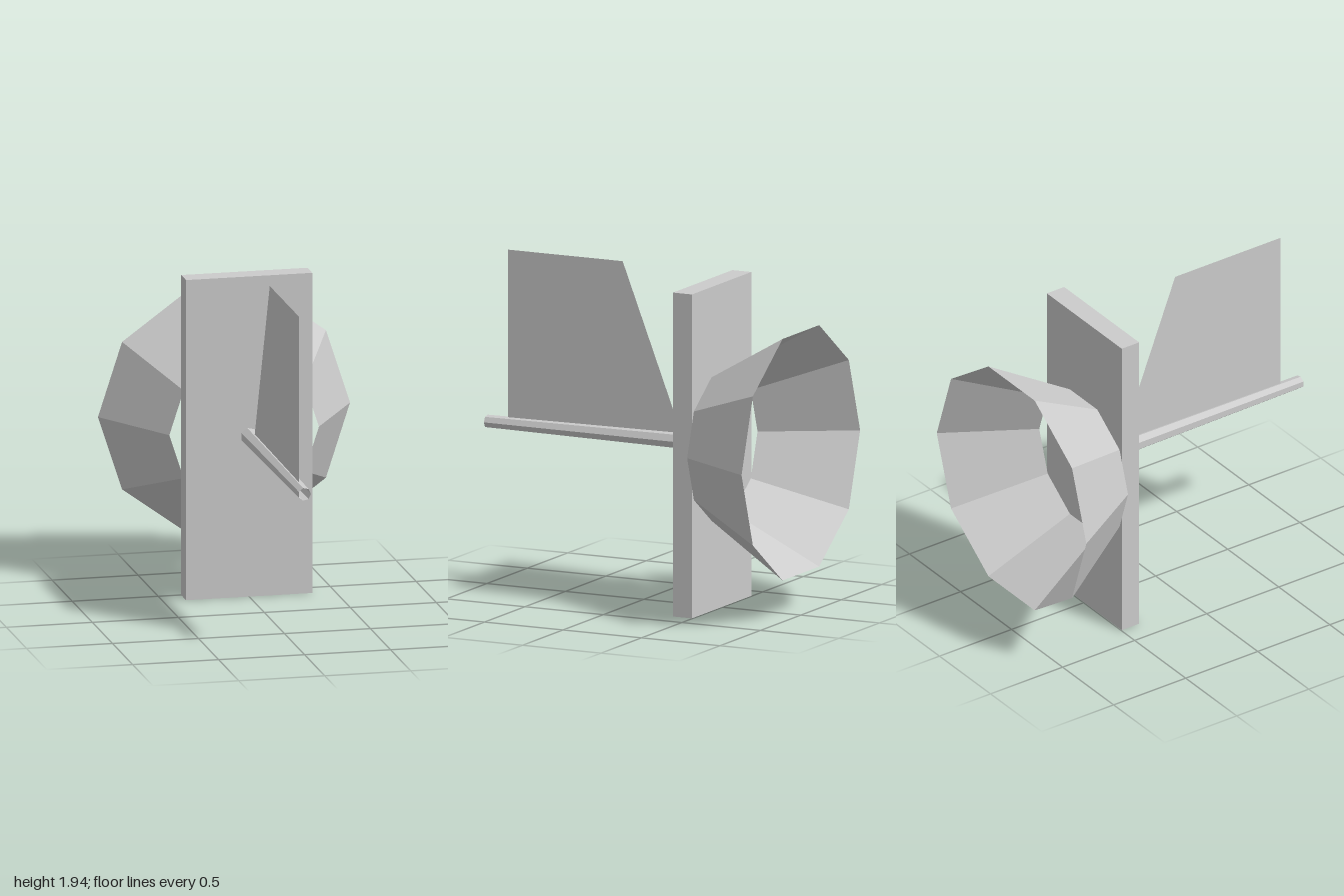
import * as THREE from 'three';

const AXIS_Y = 0.937;

export function createModel() {
  const group = new THREE.Group();
  const solid = new THREE.MeshStandardMaterial({ color: 0xcccccc, flatShading: true });
  const thin = new THREE.MeshStandardMaterial({ color: 0xcccccc, flatShading: true, side: THREE.DoubleSide });

  const add = (name, geometry, material) => {
    const mesh = new THREE.Mesh(geometry, material);
    mesh.name = name;
    group.add(mesh);
    return mesh;
  };

  // Open tapered tube along z, with one edge pointing to +x
  const taperedTube = (name, rFront, rBack, zFront, zBack, sides) => {
    const geo = new THREE.CylinderGeometry(rFront, rBack, zFront - zBack, sides, 1, true, Math.PI / 2);
    geo.rotateX(Math.PI / 2);
    add(name, geo, thin).position.set(0, AXIS_Y, (zFront + zBack) / 2);
  };

  // Upright slab
  add('panel', new THREE.BoxGeometry(0.734, 1.87, 0.12), solid).position.set(0, 0.935, -0.435);

  // Boom in front and flared ring behind
  taperedTube('boom', 0.0375, 0.05, 1, -0.375, 7);
  taperedTube('flaredRing', 0.435, 0.733, -0.5, -1, 10);

  // Paper-thin vertical fin standing on the boom, drawn in (-z, y)
  const fin = new THREE.Shape([
    [-0.865, 0.97], [0.242, 0.97], [-0.135, 1.94], [-0.865, 1.94],
  ].map(([x, y]) => new THREE.Vector2(x, y)));
  add('fin', new THREE.ShapeGeometry(fin).rotateY(Math.PI / 2), thin);

  return group;
}
